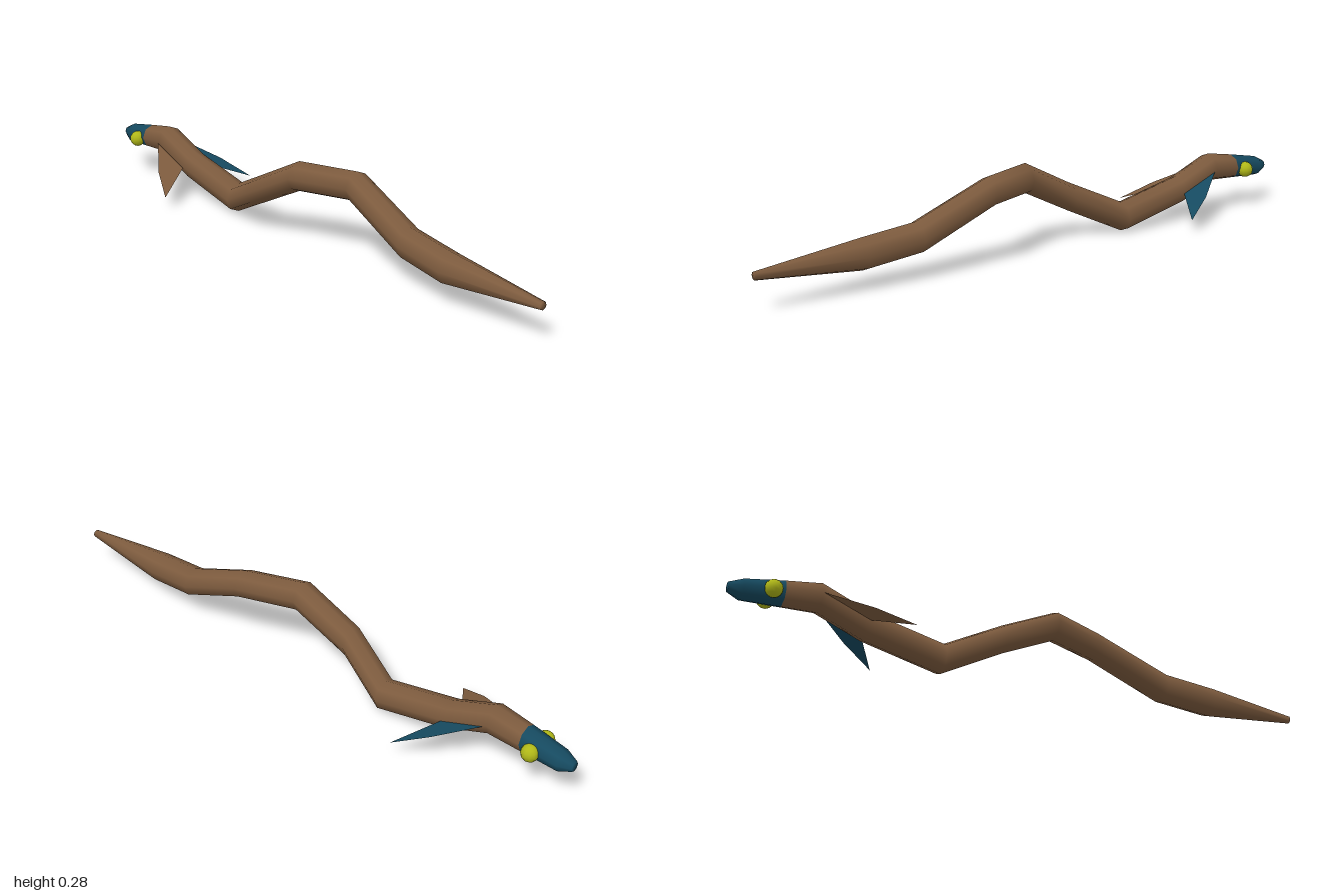
import * as THREE from 'three';

const SIDES = 8;

// Cross-sections from tail to snout: z, x centre, y centre, radius
const RINGS = [
  [1.0, 0.008, 0.11, 0],
  [1.0, 0.008, 0.11, 0.013],
  [0.66, 0.008, 0.108, 0.05],
  [0.48, 0.02, 0.127, 0.05],
  [0.23, 0.038, 0.231, 0.048],
  [0.04, -0.032, 0.23, 0.049],
  [-0.15, -0.048, 0.135, 0.048],
  [-0.33, 0.007, 0.05, 0.049],
  [-0.58, 0.007, 0.102, 0.048],
  [-0.73, 0.006, 0.159, 0.048],
  [-0.84, 0.006, 0.146, 0.042],
  [-0.96, 0.007, 0.131, 0.034],
  [-1.0, 0.007, 0.13, 0.016],
  [-1.0, 0.007, 0.13, 0],
];
const HEAD_START = 10;

// Ring-to-ring faces between two cross-sections
function sectionIndex(from, to) {
  const index = [];
  for (let i = from; i < to; i++) {
    for (let k = 0; k < SIDES; k++) {
      const a = i * SIDES + k, b = i * SIDES + (k + 1) % SIDES;
      index.push(a, a + SIDES, b, b, a + SIDES, b + SIDES);
    }
  }
  return index;
}

function loft() {
  const positions = [];
  for (const [z, x, y, r] of RINGS) {
    for (let k = 0; k < SIDES; k++) {
      const t = (k / SIDES) * Math.PI * 2;
      positions.push(x + r * Math.cos(t), y + r * Math.sin(t), z);
    }
  }
  const geometry = new THREE.BufferGeometry();
  geometry.setAttribute('position', new THREE.Float32BufferAttribute(positions, 3));
  geometry.setIndex(sectionIndex(0, RINGS.length - 1));
  geometry.computeVertexNormals();
  return geometry;
}

// Thin swept fin: leading root, bend, tip, trailing root
function finGeometry(side) {
  const corners = [[0.045, 0.155, -0.73], [0.132, 0.097, -0.6], [0.181, 0.047, -0.49], [0.045, 0.1, -0.58]];
  const geometry = new THREE.BufferGeometry();
  const positions = corners.flatMap(([x, y, z]) => [x * side, y, z]);
  geometry.setAttribute('position', new THREE.Float32BufferAttribute(positions, 3));
  geometry.setIndex(side > 0 ? [0, 3, 1, 1, 3, 2] : [0, 1, 3, 1, 2, 3]);
  geometry.computeVertexNormals();
  return geometry;
}

export function createModel() {
  const group = new THREE.Group();
  const brown = new THREE.MeshStandardMaterial({ color: 0x7d5b3e });
  const blue = new THREE.MeshStandardMaterial({ color: 0x164a60 });
  const yellow = new THREE.MeshStandardMaterial({ color: 0xb0b818 });

  const add = (name, geometry, material) => {
    const mesh = new THREE.Mesh(geometry, material);
    mesh.name = name;
    group.add(mesh);
    return mesh;
  };

  // Winding body and snout share one set of smooth normals
  const whole = loft();
  const body = whole.clone();
  body.setIndex(sectionIndex(0, HEAD_START));
  const head = whole.clone();
  head.setIndex(sectionIndex(HEAD_START, RINGS.length - 1));
  add('body', body, brown);
  add('head', head, blue);

  // Paired eyes and fins
  for (const side of [1, -1]) {
    const label = side > 0 ? 'left' : 'right';
    const eye = add(label + 'Eye', new THREE.SphereGeometry(0.027, 12, 8), yellow);
    eye.position.set(0.005 + side * 0.04, 0.136, -0.877);
    const finMaterial = (side > 0 ? blue : brown).clone();
    finMaterial.side = THREE.DoubleSide;
    add(label + 'Fin', finGeometry(side), finMaterial);
  }
  return group;
}
